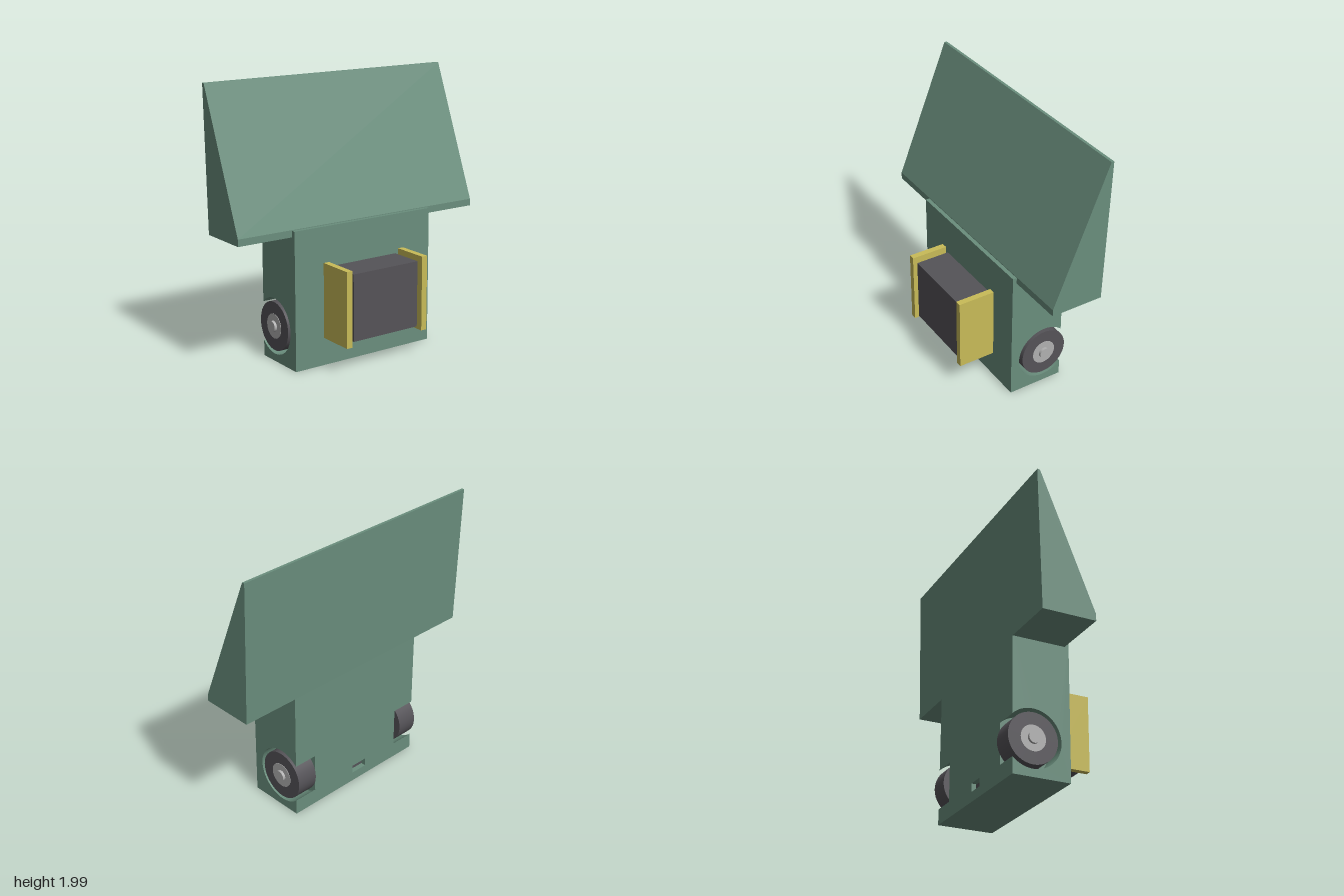
import * as THREE from 'three';

const mat = (name, color) => {
  const m = new THREE.MeshStandardMaterial({ color });
  m.name = name;
  return m;
};

export function createModel() {
  const green = mat('casing green', 0x6a8e7d);
  const yellow = mat('bracket yellow', 0xc8bb58);
  const dark = mat('dark grey', 0x555358);
  const silver = mat('silver', 0xb0b0b0);
  const model = new THREE.Group();
  model.name = 'wedgeToppedUnit';

  const add = (name, geometry, material, parent = model) => {
    const mesh = new THREE.Mesh(geometry, material);
    mesh.name = name;
    parent.add(mesh);
    return mesh;
  };

  // Extrudes a side profile, drawn as (-z, y), between two x positions
  const slab = (name, shape, x0, x1) => {
    const geometry = new THREE.ExtrudeGeometry(shape, { depth: x1 - x0, bevelEnabled: false, curveSegments: 40 });
    geometry.rotateY(Math.PI / 2).translate(x0, 0, 0);
    return add(name, geometry, green);
  };
  const profile = (points) => new THREE.Shape(points.map(([x, y]) => new THREE.Vector2(x, y)));
  const box = (name, material, x0, x1, y0, y1, z0, z1) => {
    const geometry = new THREE.BoxGeometry(x1 - x0, y1 - y0, z1 - z0);
    geometry.translate((x0 + x1) / 2, (y0 + y1) / 2, (z0 + z1) / 2);
    return add(name, geometry, material);
  };

  const front = -0.085, back = 0.33, half = 0.58, wellX = 0.4;
  const axleY = 0.26, axleZ = -0.185, wellR = 0.205;

  // Body core, split around the small slot in its back
  const plain = profile([[front, 0], [back, 0], [back, 1], [front, 1]]);
  const slotted = profile([[front, 0], [back, 0], [back, 0.07], [0.29, 0.07],
    [0.29, 0.13], [back, 0.13], [back, 1], [front, 1]]);
  slab('bodyCoreRight', plain, -wellX, -0.1);
  slab('bodyCoreSlot', slotted, -0.1, 0.03);
  slab('bodyCoreLeft', plain, 0.03, wellX);
  box('slotSocket', dark, -0.095, 0.025, 0.075, 0.125, -0.298, -0.288);

  // Body sides with round wheel wells open to the back
  const a = Math.acos((back + axleZ) / wellR);
  const dy = wellR * Math.sin(a);
  const welled = new THREE.Shape();
  welled.moveTo(front, 0);
  welled.lineTo(back, 0);
  welled.lineTo(back, axleY - dy);
  welled.absarc(-axleZ, axleY, wellR, -a, a, true);
  welled.lineTo(back, 1);
  welled.lineTo(front, 1);
  slab('bodySideLeft', welled, wellX, half);
  slab('bodySideRight', welled, -half, -wellX);

  // Wide wedge on top
  slab('wedge', profile([[-0.055, 0.955], [back, 0.955], [0.36, 1.985], [0.34, 1.985], [-0.055, 1.005]]), -1, 1);

  // Front block between two upright plates
  box('frontBlock', dark, -0.275, 0.275, 0.23, 0.71, 0.08, 0.34);
  box('plateLeft', yellow, 0.3, 0.345, 0.2, 0.743, 0.08, 0.36);
  box('plateRight', yellow, -0.345, -0.3, 0.2, 0.743, 0.08, 0.36);

  // Wheels with hub disc and axle stub
  for (const side of [1, -1]) {
    const wheel = new THREE.Group();
    wheel.name = side > 0 ? 'wheelLeft' : 'wheelRight';
    const disc = (name, material, radius, x0, x1) => {
      const geometry = new THREE.CylinderGeometry(radius, radius, x1 - x0, 40);
      geometry.rotateZ(Math.PI / 2).translate(side * (x0 + x1) / 2, 0, 0);
      add(name, geometry, material, wheel);
    };
    disc('tyre', dark, 0.178, 0.425, 0.583);
    disc('hub', silver, 0.09, 0.58, 0.586);
    disc('axle', silver, 0.04, 0.395, 0.606);
    wheel.position.set(0, axleY, axleZ);
    model.add(wheel);
  }

  return model;
}
